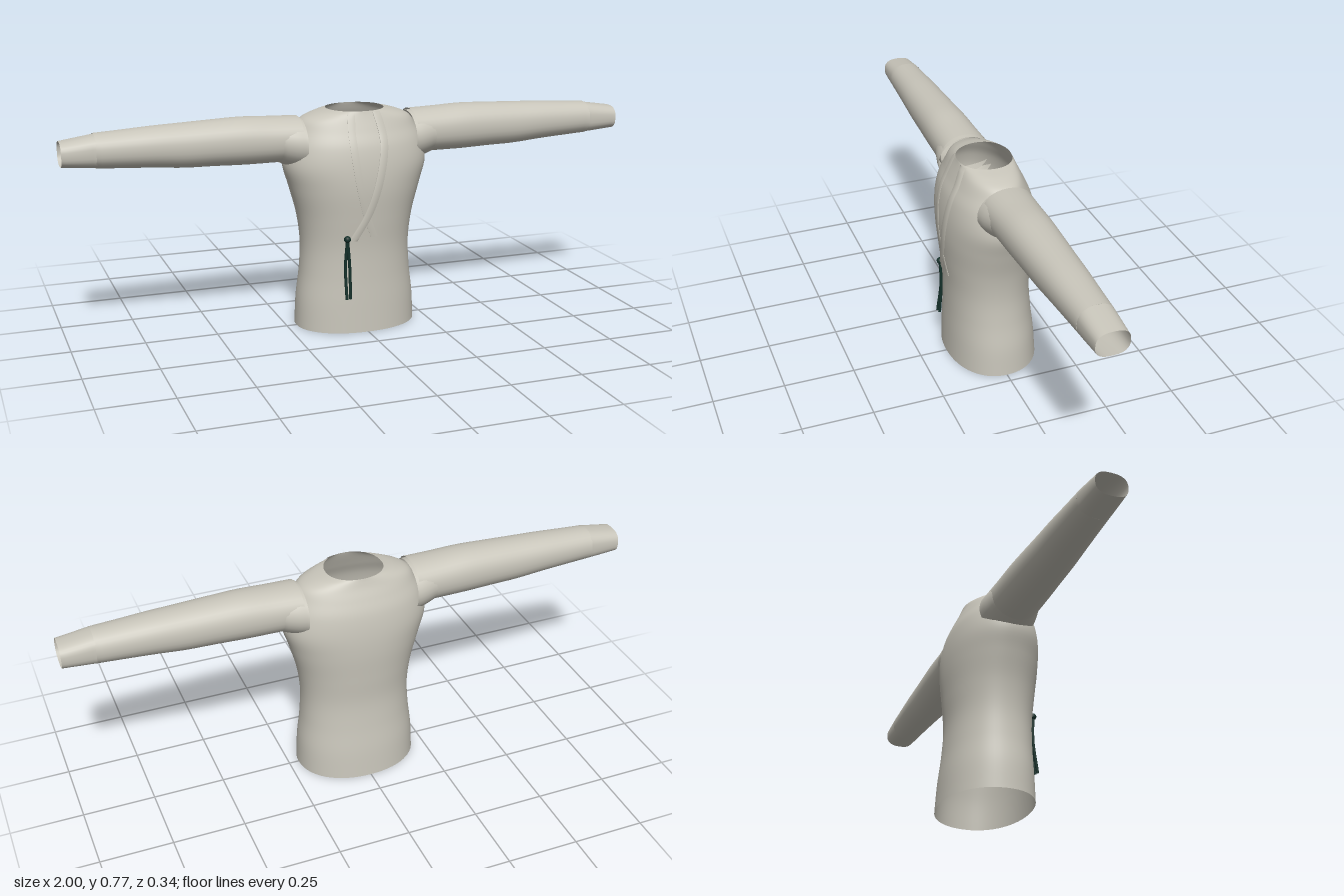
import * as THREE from 'three';

const cloth = new THREE.MeshStandardMaterial({ color: 0xc8c5ba, side: THREE.DoubleSide });
cloth.name = 'undyed cloth';
const cord = new THREE.MeshStandardMaterial({ color: 0x14302a, side: THREE.DoubleSide });
cord.name = 'dark green cord';

// Torso rows: height, half width, front z, back z
const ROWS = [
  [0, 0.215, 0.152, -0.167], [0.1, 0.21, 0.149, -0.159], [0.2, 0.198, 0.146, -0.147],
  [0.3, 0.194, 0.147, -0.14], [0.4, 0.206, 0.156, -0.145], [0.5, 0.233, 0.164, -0.15],
  [0.58, 0.255, 0.161, -0.147], [0.65, 0.243, 0.148, -0.135], [0.7, 0.218, 0.127, -0.115],
  [0.735, 0.195, 0.112, -0.098], [0.755, 0.15, 0.104, -0.09], [0.767, 0.1, 0.1, -0.086],
];
const frontCurve = new THREE.CatmullRomCurve3(ROWS.map(r => new THREE.Vector3(r[1], r[0], r[2])), false, 'catmullrom', 0.5);
const backCurve = new THREE.CatmullRomCurve3(ROWS.map(r => new THREE.Vector3(r[1], r[0], r[3])), false, 'catmullrom', 0.5);
const POWER = 2.15;

const soft = (v, n) => Math.sign(v) * Math.abs(v) ** (2 / n);

// Joins rows of points into a smooth skin
function loft(name, rings, material, closed = true) {
  const n = rings[0].length, index = [];
  const wrap = closed ? n : n - 1;
  for (let i = 0; i < rings.length - 1; i++) {
    for (let j = 0; j < wrap; j++) {
      const k = (j + 1) % n;
      const a = i * n + j, b = i * n + k, c = a + n, d = b + n;
      index.push(a, c, b, b, c, d);
    }
  }
  const geometry = new THREE.BufferGeometry().setFromPoints(rings.flat());
  geometry.setIndex(index);
  geometry.computeVertexNormals();
  const mesh = new THREE.Mesh(geometry, material);
  mesh.name = name;
  return mesh;
}

function torsoRing(t, segments = 64) {
  const f = frontCurve.getPoint(t), b = backCurve.getPoint(t);
  return Array.from({ length: segments }, (_, j) => {
    const a = -j / segments * Math.PI * 2;
    const s = soft(Math.sin(a), POWER);
    return new THREE.Vector3(f.x * soft(Math.cos(a), POWER), f.y, s >= 0 ? s * f.z : -s * b.z);
  });
}

// Front surface of the torso at a given x and y
function frontZ(x, y) {
  let lo = 0, hi = 1;
  for (let i = 0; i < 24; i++) {
    const mid = (lo + hi) / 2;
    if (frontCurve.getPoint(mid).y < y) lo = mid; else hi = mid;
  }
  const p = frontCurve.getPoint(lo);
  return p.z * Math.max(0, 1 - Math.abs(x / p.x) ** POWER) ** (1 / POWER);
}

// Stations along a sleeve: x, centre y, half height, half depth
function sleeveSkin(name, side, stations, power, steps) {
  const curve = (f) => new THREE.CatmullRomCurve3(stations.map(f), false, 'catmullrom', 0.5);
  const middle = curve(s => new THREE.Vector3(s[0], s[1], 0));
  const size = curve(s => new THREE.Vector3(s[2], s[3], 0));
  const rings = [];
  for (let i = 0; i <= steps; i++) {
    const m = middle.getPoint(i / steps), r = size.getPoint(i / steps);
    rings.push(Array.from({ length: 32 }, (_, j) => {
      const a = side * j / 32 * Math.PI * 2;
      return new THREE.Vector3(side * m.x, m.y + r.x * soft(Math.sin(a), power), r.y * soft(Math.cos(a), power));
    }));
  }
  return loft(name, rings, cloth);
}

// Raised band following the chest
function frontBand(name, path, width, lift) {
  const curve = new THREE.CatmullRomCurve3(path.map(p => new THREE.Vector3(p[0], p[1], 0)));
  const rings = [];
  for (let i = 0; i <= 30; i++) {
    const p = curve.getPoint(i / 30);
    rings.push([[-1, 0], [-1, 1], [0, 1], [1, 1], [1, 0]].map(([s, up]) => {
      const x = p.x + s * width / 2;
      return new THREE.Vector3(x, p.y, frontZ(x, p.y) + up * lift);
    }));
  }
  return loft(name, rings, cloth, false);
}

export function createModel() {
  const model = new THREE.Group();
  model.name = 'wrapJacket';

  // Open torso shell
  const rings = [];
  for (let i = 0; i <= 66; i++) rings.push(torsoRing(i / 66));
  model.add(loft('torso', rings, cloth));

  // Sleeves, armhole flares and cuffs
  for (const side of [1, -1]) {
    const label = side > 0 ? 'left' : 'right';
    model.add(sleeveSkin(label + 'Armhole', side,
      [[0.195, 0.655, 0.086, 0.103], [0.23, 0.66, 0.084, 0.098], [0.275, 0.668, 0.076, 0.087]], 2, 8));
    model.add(sleeveSkin(label + 'Sleeve', side, [
      [0.205, 0.672, 0.076, 0.09], [0.3, 0.673, 0.078, 0.086], [0.4, 0.675, 0.08, 0.083], [0.5, 0.675, 0.077, 0.079],
      [0.6, 0.674, 0.074, 0.075], [0.7, 0.676, 0.068, 0.071], [0.8, 0.676, 0.062, 0.066], [0.89, 0.676, 0.057, 0.062],
    ], 2.2, 35));
    model.add(sleeveSkin(label + 'Cuff', side,
      [[0.887, 0.676, 0.054, 0.06], [0.94, 0.674, 0.048, 0.058], [1, 0.672, 0.041, 0.055]], 2.6, 8));
  }

  // Crossed collar bands
  model.add(frontBand('innerCollar', [[-0.045, 0.764], [-0.052, 0.68], [-0.04, 0.55], [-0.01, 0.42], [0.02, 0.34]], 0.025, 0.002));
  model.add(frontBand('outerCollar', [[0.045, 0.764], [0.058, 0.68], [0.04, 0.56], [0, 0.43], [-0.055, 0.33]], 0.028, 0.004));

  // Knotted tie with two hanging ends
  const knot = new THREE.Mesh(new THREE.SphereGeometry(0.012, 16, 10), cord);
  knot.name = 'tieKnot';
  knot.position.set(-0.075, 0.338, frontZ(-0.075, 0.338) + 0.004);
  model.add(knot);
  for (const [end, z] of [[-0.081, 0.156], [-0.067, 0.153]]) {
    const path = new THREE.CatmullRomCurve3([
      new THREE.Vector3(-0.075, 0.338, frontZ(-0.075, 0.338) + 0.004),
      new THREE.Vector3(end, 0.24, frontZ(end, 0.24) + 0.006),
      new THREE.Vector3(end, 0.127, z),
    ]);
    const strand = new THREE.Mesh(new THREE.TubeGeometry(path, 20, 0.0055, 8), cord);
    strand.name = 'tieEnd';
    model.add(strand);
  }
  return model;
}
